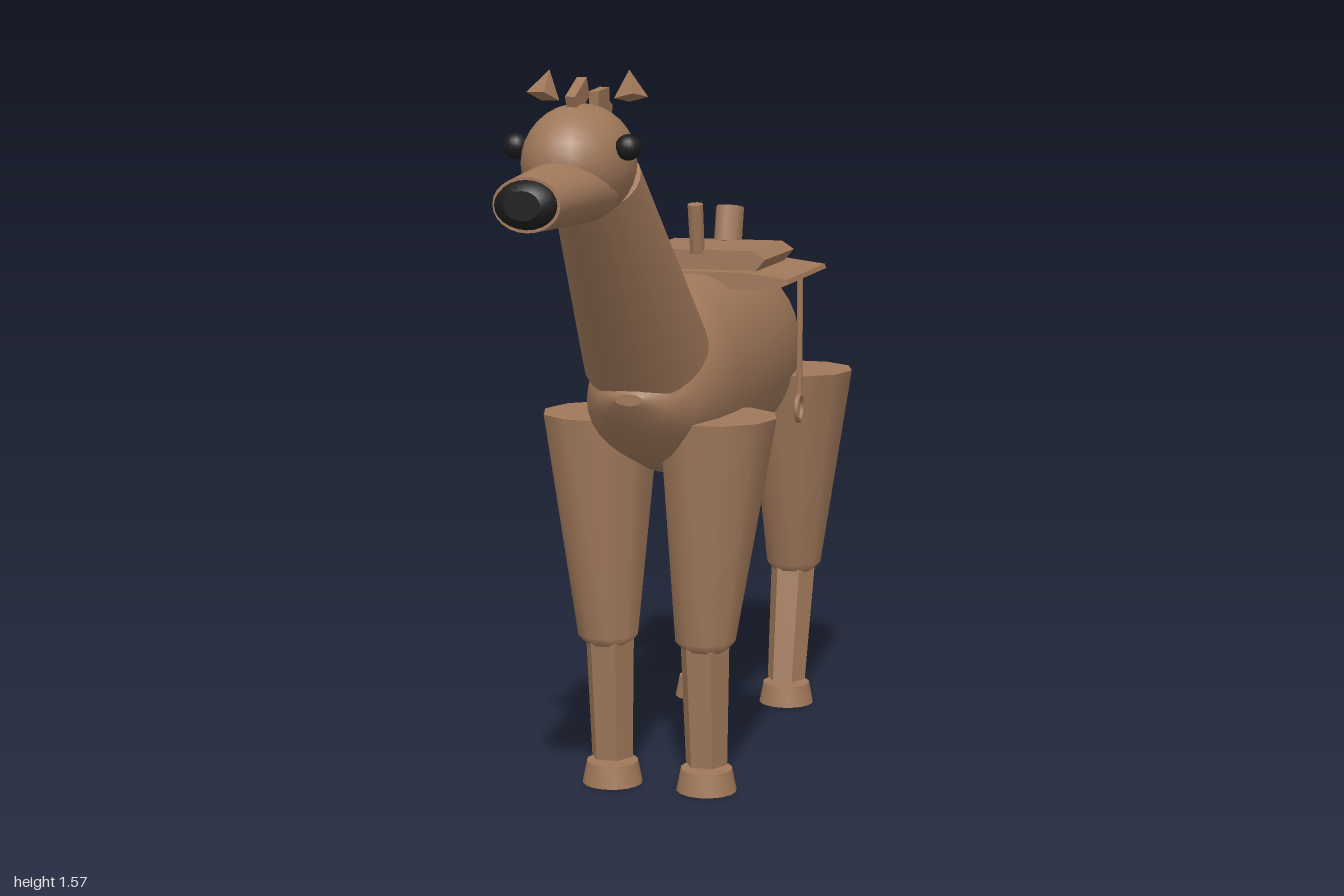
import * as THREE from 'three';

const brown = new THREE.MeshStandardMaterial({ color: 0xa0785a });
brown.name = 'brown wood';
const black = new THREE.MeshStandardMaterial({ color: 0x1c1c1c });
black.name = 'black';

const V = (x, y, z) => new THREE.Vector3(x, y, z);

function add(parent, name, geometry, material = brown) {
  const mesh = new THREE.Mesh(geometry, material);
  mesh.name = name;
  parent.add(mesh);
  return mesh;
}

// Elliptic rings, ordered counter-clockwise for stacking along +y or +z
function ring(n, point, phase = 0) {
  return Array.from({ length: n }, (_, i) => {
    const a = phase + (i / n) * Math.PI * 2;
    return point(Math.cos(a), Math.sin(a));
  });
}
const yRing = (x, y, z, rx, rz, n, phase) => ring(n, (c, s) => V(x + c * rx, y, z - s * rz), phase);
const zRing = (y, z, rx, ry, n) => ring(n, (c, s) => V(c * rx, y + s * ry, z));

// Skin over a stack of rings, with crisp end caps
function loft(rings, flat = false) {
  const n = rings[0].length, last = rings.length - 1;
  const points = [...rings.flat(), ...rings[0], ...rings[last]];
  const index = [];
  for (let i = 0; i < last; i++) {
    for (let j = 0; j < n; j++) {
      const a = i * n + j, b = i * n + ((j + 1) % n);
      index.push(a, b, a + n, b, b + n, a + n);
    }
  }
  const low = rings.length * n, high = low + n;
  for (let j = 1; j < n - 1; j++) {
    index.push(low, low + j + 1, low + j, high, high + j, high + j + 1);
  }
  let g = new THREE.BufferGeometry().setFromPoints(points);
  g.setIndex(index);
  if (flat) g = g.toNonIndexed();
  g.computeVertexNormals();
  return g;
}

// Tapered round bar from a to b
function rod(a, b, ra, rb, n = 16) {
  const d = b.clone().sub(a);
  const g = new THREE.CylinderGeometry(rb, ra, d.length(), n);
  g.applyQuaternion(new THREE.Quaternion().setFromUnitVectors(V(0, 1, 0), d.normalize()));
  const m = a.clone().add(b).multiplyScalar(0.5);
  return g.translate(m.x, m.y, m.z);
}

// Slab with chamfered long edges, extruded along z
function slab(outline, z0, z1) {
  const right = outline.map(([x, y]) => new THREE.Vector2(x, y));
  const left = outline.map(([x, y]) => new THREE.Vector2(-x, y)).reverse();
  const g = new THREE.ExtrudeGeometry(new THREE.Shape([...right, ...left]), { depth: z1 - z0, bevelEnabled: false });
  return g.translate(0, 0, z0);
}

function buildLeg(parent, name, side, hipZ, kneeZ, ankleZ) {
  const leg = new THREE.Group();
  leg.name = name;
  parent.add(leg);
  const x = side * 0.11;
  add(leg, 'upperLeg', loft([
    yRing(x, 0.32, kneeZ, 0.045, 0.045, 10),
    yRing(x, 0.345, kneeZ, 0.068, 0.072, 10),
    yRing(side * 0.13, 0.83, hipZ, 0.13, 0.14, 10),
  ]));
  add(leg, 'lowerLeg', loft([
    yRing(side * 0.108, 0.06, ankleZ, 0.047, 0.049, 6),
    yRing(side * 0.108, 0.34, kneeZ - 0.005, 0.055, 0.06, 6),
  ], true));
  add(leg, 'hoof', loft([
    yRing(side * 0.108, 0, ankleZ, 0.067, 0.065, 16),
    yRing(side * 0.108, 0.05, ankleZ, 0.057, 0.056, 16),
  ]));
}

export function createModel() {
  const model = new THREE.Group();
  model.name = 'woodenHorse';

  // Body: z, top, bottom, half width
  const body = [
    [-0.835, 0.91, 0.87, 0.03], [-0.8, 0.97, 0.81, 0.065], [-0.76, 1.015, 0.76, 0.09],
    [-0.68, 1.05, 0.72, 0.115], [-0.58, 1.08, 0.695, 0.138], [-0.42, 1.1, 0.68, 0.157],
    [-0.15, 1.11, 0.68, 0.166], [0.06, 1.11, 0.685, 0.16], [0.16, 1.07, 0.71, 0.148],
    [0.27, 0.99, 0.76, 0.12], [0.33, 0.93, 0.83, 0.075], [0.36, 0.905, 0.88, 0.03],
  ];
  add(model, 'body', loft(body.map(([z, t, b, w]) => zRing((t + b) / 2, z, w, (t - b) / 2, 28))));

  // Legs
  for (const side of [-1, 1]) {
    const word = side > 0 ? 'Left' : 'Right';
    buildLeg(model, 'front' + word + 'Leg', side, 0.135, 0.16, 0.14);
    buildLeg(model, 'rear' + word + 'Leg', side, -0.62, -0.66, -0.6);
  }

  // Neck and head
  add(model, 'neck', rod(V(0, 0.975, 0.235), V(0, 1.36, 0.57), 0.135, 0.09, 24));
  const skull = add(model, 'skull', new THREE.SphereGeometry(1, 24, 16));
  skull.scale.set(0.108, 0.112, 0.145);
  skull.position.set(0, 1.4, 0.67);
  add(model, 'muzzle', loft([
    zRing(1.35, 0.7, 0.09, 0.066, 24), zRing(1.34, 0.975, 0.065, 0.051, 24),
  ]));
  add(model, 'nose', loft([
    zRing(1.34, 0.972, 0.06, 0.046, 24), zRing(1.34, 0.99, 0.056, 0.042, 24), zRing(1.34, 1, 0.035, 0.027, 24),
  ]), black);
  for (const side of [-1, 1]) {
    add(model, 'eye', new THREE.SphereGeometry(0.025, 16, 12), black).position.set(side * 0.112, 1.432, 0.715);
    const ear = add(model, 'ear', new THREE.ConeGeometry(0.033, 0.055, 4).toNonIndexed());
    ear.geometry.computeVertexNormals();
    ear.position.set(side * 0.085, 1.548, 0.615);
    ear.rotation.set(-0.3, Math.PI / 8, side * 0.15);
  }

  // Forelock and stepped mane
  const forelock = add(model, 'forelock', new THREE.BoxGeometry(0.02, 0.04, 0.08));
  forelock.position.set(0, 1.525, 0.68);
  forelock.rotation.x = 0.45;
  const tufts = 12;
  for (let i = 0; i < tufts; i++) {
    const t = i / (tufts - 1);
    const tuft = add(model, 'maneTuft', new THREE.BoxGeometry(0.02, 0.075 - 0.02 * t, 0.05));
    tuft.position.set(0, 1.475 - 0.355 * t, 0.525 - 0.325 * t);
    tuft.rotation.x = -0.3;
  }
  const crest = add(model, 'maneCrest', new THREE.BoxGeometry(0.02, 0.07, 0.07));
  crest.position.set(0, 1.5, 0.543);
  crest.rotation.x = 0.1;

  // Saddle
  const saddle = new THREE.Group();
  saddle.name = 'saddle';
  model.add(saddle);
  add(saddle, 'saddlePad', slab([[0.19, 1.075], [0.224, 1.09], [0.22, 1.1], [0.12, 1.113]], -0.49, -0.115));
  add(saddle, 'seat', slab([[0.13, 1.105], [0.158, 1.138], [0.13, 1.157]], -0.435, -0.16));
  add(saddle, 'horn', rod(V(0, 1.15, -0.167), V(0, 1.26, -0.147), 0.017, 0.018, 8));
  add(saddle, 'cantle', rod(V(0, 1.15, -0.43), V(0, 1.232, -0.45), 0.034, 0.034, 8));
  for (const side of [-1, 1]) {
    const x = side * 0.213;
    add(saddle, 'stirrupStrap', rod(V(x, 0.82, -0.27), V(x, 1.095, -0.27), 0.007, 0.007, 8));
    const stirrup = add(saddle, 'stirrup', new THREE.TorusGeometry(0.029, 0.006, 8, 20));
    stirrup.rotation.y = Math.PI / 2;
    stirrup.position.set(x, 0.79, -0.27);
  }

  // Tail of tapered strands, fanning out towards the tip
  const strands = 9;
  for (let i = 0; i < strands; i++) {
    const f = (i / (strands - 1)) * 2 - 1;
    const q = Math.PI / 4;
    add(model, 'tailStrand', loft([
      yRing(f * 0.058, 0.565 + (i % 2) * 0.012, -0.995, 0.007, 0.005, 4, q),
      yRing(f * 0.047, 0.79, -0.945, 0.0095, 0.022, 4, q),
      yRing(f * 0.034, 0.96, -0.812, 0.008, 0.026, 4, q),
      yRing(f * 0.032, 0.985, -0.803, 0.007, 0.006, 4, q),
    ], true));
  }
  return model;
}
